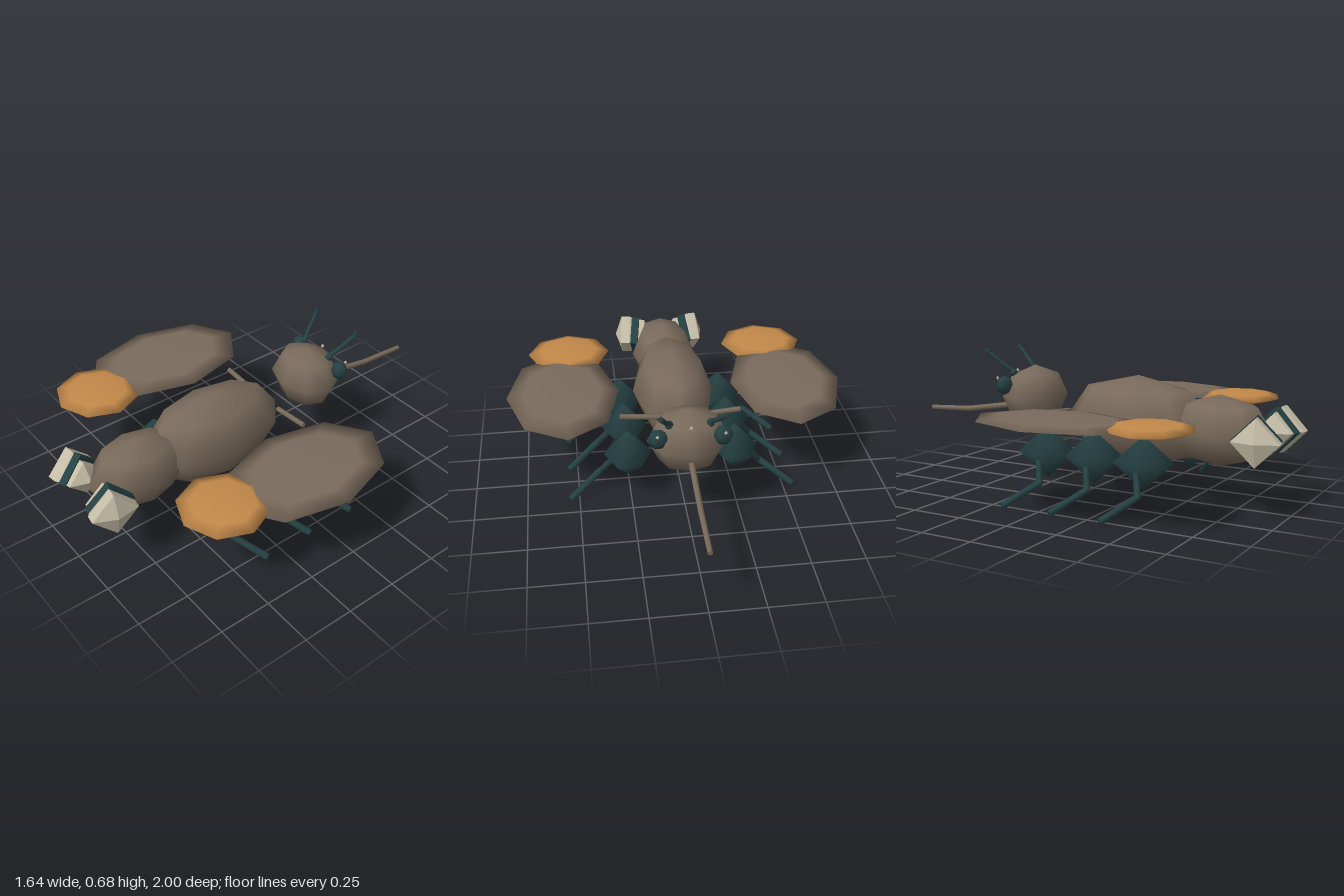
import * as THREE from 'three';

const mat = (name, color) => {
  const m = new THREE.MeshStandardMaterial({ color });
  m.name = name;
  return m;
};

export function createModel() {
  const model = new THREE.Group();
  model.name = 'insect';
  const brown = mat('brown', 0x796a5b);
  const dark = mat('dark teal', 0x264143);
  const cream = mat('cream', 0xc4bca6);
  const orange = mat('orange', 0xc28849);

  const add = (name, geometry, material, pos = [0, 0, 0], yaw = 0) => {
    const mesh = new THREE.Mesh(geometry, material);
    mesh.name = name;
    mesh.position.set(...pos);
    mesh.rotation.y = yaw;
    model.add(mesh);
    return mesh;
  };

  // Low-poly ellipsoid with given radii
  const blob = (name, material, pos, radii, w = 8, h = 4, yaw = 0) =>
    add(name, new THREE.SphereGeometry(1, w, h).scale(...radii), material, pos, yaw);

  // Straight rod between two points
  const rod = (name, material, a, b, r0, r1 = r0) => {
    const from = new THREE.Vector3(...a), to = new THREE.Vector3(...b);
    const dir = to.clone().sub(from);
    const geometry = new THREE.CylinderGeometry(r1, r0, dir.length(), 6);
    const mesh = add(name, geometry, material, from.add(to).multiplyScalar(0.5).toArray());
    mesh.quaternion.setFromUnitVectors(new THREE.Vector3(0, 1, 0), dir.normalize());
  };

  // Faceted copy of a geometry
  const facet = (geometry) => {
    const g = geometry.toNonIndexed();
    g.computeVertexNormals();
    return g;
  };

  // Body segments
  blob('thorax', brown, [0, 0.365, 0.24], [0.2, 0.215, 0.385]);
  blob('abdomen', brown, [0, 0.355, 0.655], [0.165, 0.165, 0.25]);
  blob('head', brown, [0, 0.442, -0.338], [0.186, 0.152, 0.152]);

  // Long bent proboscis
  rod('proboscis', brown, [0, 0.395, -0.4], [0, 0.338, -0.75], 0.015, 0.014);
  rod('proboscisTip', brown, [0, 0.338, -0.74], [0, 0.325, -1], 0.014, 0.012);
  blob('browSpeck', cream, [0, 0.56, -0.445], [0.011, 0.011, 0.011], 4, 2);

  // Profile of the four-sided end pods, from inner tip to outer tip
  const podProfile = [[0, -0.1], [0.087, -0.055], [0.095, 0], [0.108, 0.025], [0.108, 0.07], [0, 0.105]]
    .map(([r, y]) => new THREE.Vector2(r, y));

  for (const s of [-1, 1]) {
    // Wings and their hinges
    blob('largeWing', brown, [s * 0.548, 0.435, 0.13], [0.272, 0.022, 0.41], 8, 4, s * 0.03);
    blob('smallWing', orange, [s * 0.508, 0.436, 0.552], [0.208, 0.027, 0.2], 8, 4);
    rod('wingHinge', brown, [s * 0.1, 0.4, -0.08], [s * 0.288, 0.416, -0.08], 0.013);

    // Three legs with diamond hips
    for (const z of [-0.105, 0.147, 0.4]) {
      blob('hip', dark, [s * 0.258, 0.227, z], [0.114, 0.125, 0.144], 6, 2);
      rod('upperLeg', dark, [s * 0.3, 0.24, z - 0.02], [s * 0.392, 0.105, z + 0.04], 0.016);
      rod('lowerLeg', dark, [s * 0.388, 0.109, z + 0.044], [s * 0.545, 0.02, z - 0.062], 0.017);
    }

    // Eyes and antennae
    blob('eye', dark, [s * 0.145, 0.502, -0.425], [0.047, 0.047, 0.04], 6, 4);
    blob('eyeGlint', cream, [s * 0.15, 0.535, -0.462], [0.01, 0.01, 0.01], 4, 2);
    blob('antennaBase', dark, [s * 0.093, 0.56, -0.405], [0.02, 0.02, 0.02], 6, 4);
    rod('antenna', dark, [s * 0.085, 0.555, -0.395], [s * 0.115, 0.605, -0.455], 0.012);
    rod('antennaEnd', dark, [s * 0.113, 0.6, -0.45], [s * 0.14, 0.662, -0.525], 0.011);
    blob('antennaTip', dark, [s * 0.14, 0.664, -0.525], [0.018, 0.018, 0.018], 6, 2);

    // Pale pods at the end of the body, each with a dark band
    const turn = -s * Math.PI / 2;
    add('endPod', facet(new THREE.LatheGeometry(podProfile, 4).rotateZ(turn)),
      cream, [s * 0.135, 0.355, 0.885], -s * 0.14);
    add('endPodBand', facet(new THREE.CylinderGeometry(0.108, 0.108, 0.04, 4).rotateZ(turn)),
      dark, [s * 0.128, 0.355, 0.876], -s * 0.2);
  }
  return model;
}
